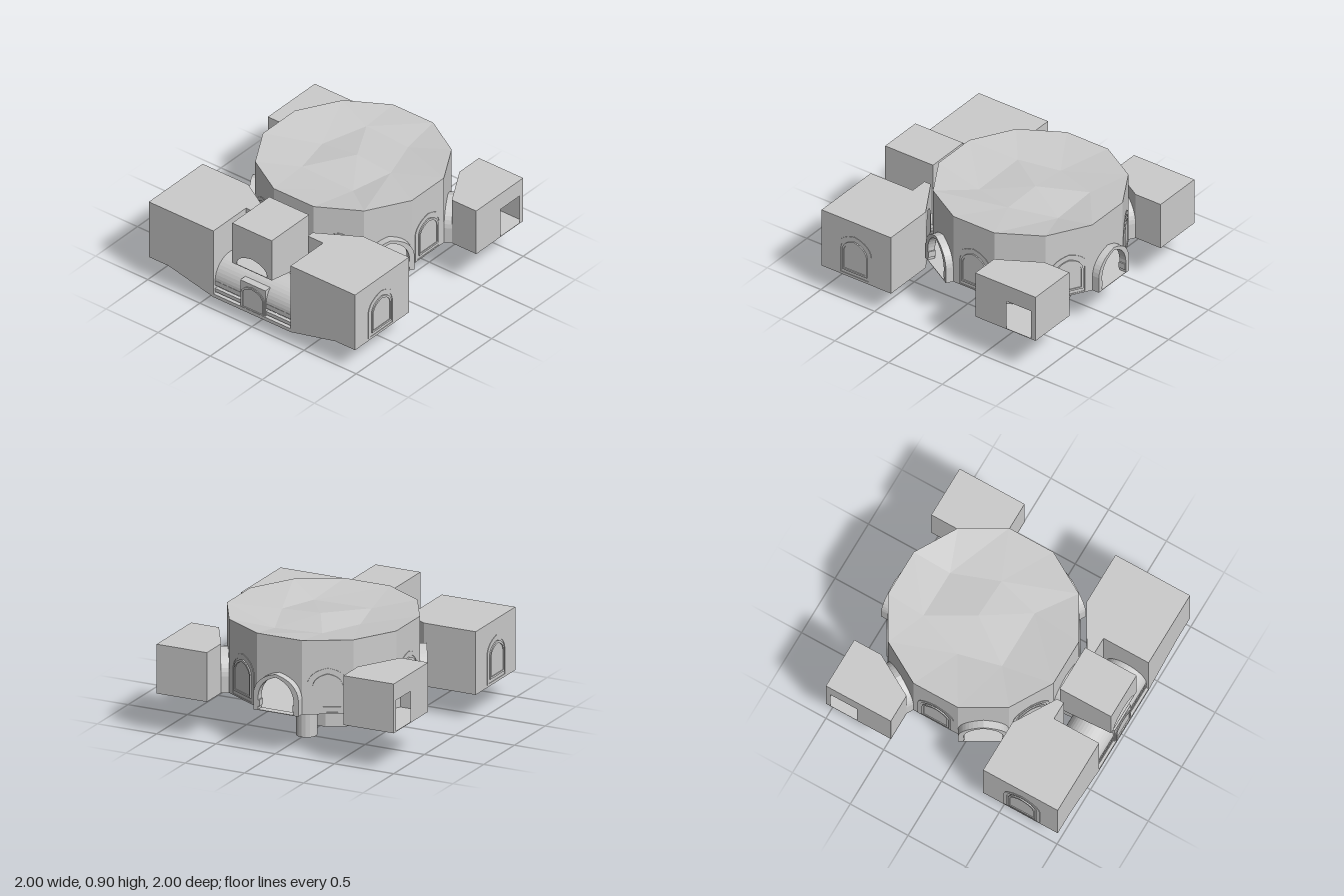
import * as THREE from 'three';

const mat = new THREE.MeshStandardMaterial({ color: 0xcccccc, flatShading: true, side: THREE.DoubleSide });
const HALL_Z = -0.215, APOTHEM = 0.715, RADIUS = APOTHEM / Math.cos(Math.PI / 12);

function add(parent, geometry, name, x = 0, y = 0, z = 0) {
  const m = new THREE.Mesh(geometry, mat);
  m.name = name;
  m.position.set(x, y, z);
  parent.add(m);
  return m;
}

// Pointed arch outline, half width w
function arch(w, y0, spring, top, Type = THREE.Shape) {
  const s = new Type();
  s.moveTo(-w, y0);
  s.lineTo(w, y0);
  s.lineTo(w, spring);
  s.quadraticCurveTo(w * 0.92, top - (top - spring) * 0.22, 0, top);
  s.quadraticCurveTo(-w * 0.92, top - (top - spring) * 0.22, -w, spring);
  s.closePath();
  return s;
}

function rect(x0, y0, x1, y1) {
  return new THREE.Path([[x0, y0], [x1, y0], [x1, y1], [x0, y1]].map(p => new THREE.Vector2(...p)));
}

const extrude = (shape, depth) =>
  new THREE.ExtrudeGeometry(shape, { depth, bevelEnabled: false, curveSegments: 8 });

// Hollow room: plan points [x, z], walls with optional openings per edge
function room(parent, name, plan, y0, y1, openings = {}, caps = [y0, y1]) {
  const g = new THREE.Group();
  g.name = name;
  parent.add(g);
  const area = plan.reduce((s, p, i) => {
    const q = plan[(i + 1) % plan.length];
    return s + p[0] * q[1] - q[0] * p[1];
  }, 0);
  plan.forEach((a, i) => {
    const b = plan[(i + 1) % plan.length];
    const dx = b[0] - a[0], dz = b[1] - a[1], h = Math.hypot(dx, dz) / 2;
    const s = new THREE.Shape([[-h, y0], [h, y0], [h, y1], [-h, y1]].map(p => new THREE.Vector2(...p)));
    if (openings[i]) s.holes.push(openings[i]);
    const k = Math.sign(area);
    const wall = add(g, new THREE.ShapeGeometry(s, 8), 'wall', (a[0] + b[0]) / 2, 0, (a[1] + b[1]) / 2);
    wall.rotation.y = Math.atan2(dz * k, -dx * k);
  });
  const outline = new THREE.Shape(plan.map(p => new THREE.Vector2(p[0], -p[1])));
  for (const y of caps) {
    const geo = new THREE.ShapeGeometry(outline);
    geo.rotateX(-Math.PI / 2);
    if (y === y0) geo.index.array.reverse(), geo.computeVertexNormals();
    add(g, geo, y === y0 ? 'floor' : 'roof', 0, y, 0);
  }
  return g;
}

// Extrude a [z, y] profile across x
function sideProfile(parent, name, pts, halfWidth) {
  const geo = extrude(new THREE.Shape(pts.map(p => new THREE.Vector2(-p[0], p[1]))), halfWidth * 2);
  geo.rotateY(Math.PI / 2);
  return add(parent, geo, name, -halfWidth, 0, 0);
}

const doorway = () => arch(0.15, 0.325, 0.43, 0.6, THREE.Path);

// Arched window: broad surround and a raised inner frame around a pane
function windowAt(parent, x, z, angle, drop = 0) {
  const g = new THREE.Group();
  g.name = 'archedWindow';
  g.position.set(x, -drop, z);
  g.rotation.y = angle;
  const surround = arch(0.155, 0.33, 0.56, 0.685);
  surround.holes.push(arch(0.13, 0.335, 0.55, 0.655, THREE.Path));
  add(g, extrude(surround, 0.004), 'windowSurround');
  const frame = arch(0.115, 0.365, 0.54, 0.64);
  frame.holes.push(arch(0.1, 0.38, 0.535, 0.62, THREE.Path));
  add(g, extrude(frame, 0.01), 'windowFrame');
  add(g, new THREE.ShapeGeometry(arch(0.1, 0.38, 0.535, 0.62), 8), 'windowPane', 0, 0, 0.003);
  parent.add(g);
}

// Roof of shallow facets sunk inside the rim
function facetedRoof(rim) {
  const inner = [[0.2, 0.85, -0.62], [0.33, 0.87, -0.25], [0.24, 0.85, 0.09],
    [-0.25, 0.86, 0.09], [-0.33, 0.85, -0.25], [-0.2, 0.87, -0.62]];
  const centre = [0, 0.89, -0.26], v = [];
  const r = i => [rim[i % 12][0], 0.905, rim[i % 12][1]];
  for (let i = 0; i < 6; i++) {
    const a = inner[i], b = inner[(i + 1) % 6], j = 2 * i;
    v.push(r(j + 1), r(j), a, r(j + 2), r(j + 1), a, b, r(j + 2), a, b, a, centre);
  }
  const geo = new THREE.BufferGeometry();
  geo.setAttribute('position', new THREE.Float32BufferAttribute(v.flat(), 3));
  geo.computeVertexNormals();
  return geo;
}

export function createModel() {
  const model = new THREE.Group();
  model.name = 'hallWithCornerRooms';

  // Twelve-sided hall; angles run clockwise from the back, seen from above
  const rim = Array.from({ length: 12 }, (_, i) => {
    const t = (i + 0.5) * Math.PI / 6;
    return [RADIUS * Math.sin(t), HALL_Z - RADIUS * Math.cos(t)];
  });
  const doors = [0, 2, 4, 6, 8, 10];
  const openings = {};
  doors.forEach(f => { openings[(f + 11) % 12] = doorway(); });
  const hall = room(model, 'centralHall', rim, 0.32, 0.905, openings, [0.32]);
  add(hall, facetedRoof(rim), 'facetedRoof');

  // Door collars on every other facet, windows between
  for (let f = 0; f < 12; f++) {
    const t = f * Math.PI / 6;
    const x = APOTHEM * Math.sin(t), z = HALL_Z - APOTHEM * Math.cos(t);
    const angle = Math.PI - t;
    if (doors.includes(f)) {
      const s = arch(0.19, 0.32, 0.45, 0.625);
      s.holes.push(doorway());
      add(model, extrude(s, 0.06), 'doorCollar', x, 0, z).rotation.y = angle;
      for (const k of [-1, 1]) {
        const foot = new THREE.BoxGeometry(0.05, 0.05, 0.058);
        foot.translate(k * 0.165, 0.375, 0.03);
        add(model, foot, 'collarFoot', x, 0, z).rotation.y = angle;
      }
    } else windowAt(model, x, z, angle);
  }

  for (const s of [1, -1]) {
    const mirror = pts => pts.map(([x, z]) => [x * s, z]);
    // Rear corner rooms with an open outer bay
    const bay = s > 0 ? rect(0.01, 0.325, 0.24, 0.57) : rect(-0.24, 0.325, -0.01, 0.57);
    room(model, 'rearRoom', mirror([[1, -1], [0.576, -1], [0.576, -0.767], [0.766, -0.438], [1, -0.438]]),
      0.32, 0.71, { 2: doorway(), 4: bay });

    // Front corner rooms
    room(model, 'frontRoom', mirror([[0.99, 1], [0.37, 1], [0.37, 0.61], [0.223, 0.61], [0.223, 0.551],
      [0.552, 0.355], [0.99, 0.355]]), 0.21, 0.71, { 4: doorway() });
    windowAt(model, 0.99 * s, 0.69, s * Math.PI / 2, 0.1);

    // Sloping underside of the front rooms
    const wedge = new THREE.Shape([[0.8, 0.21], [0.37, 0.21], [0.37, 0.11]]
      .map(([x, y]) => new THREE.Vector2(x * s, y)));
    add(model, extrude(wedge, 0.38), 'slopedUnderside', 0, 0, 0.62);
  }

  // Raised gatehouse over the front passage, with a sloping base
  room(model, 'gatehouse', [[-0.19, 1], [0.19, 1], [0.19, 0.555], [-0.19, 0.555]], 0.5, 0.86,
    { 0: arch(0.145, 0.505, 0.52, 0.61, THREE.Path), 2: arch(0.145, 0.505, 0.52, 0.61, THREE.Path) }, [0.86]);
  sideProfile(model, 'gatehouseBase', [[0.555, 0.42], [1, 0.5], [0.555, 0.5]], 0.19);

  // Barrel vault between the front rooms
  const vault = new THREE.CylinderGeometry(0.172, 0.172, 0.74, 20, 1, true, 0, Math.PI);
  vault.rotateZ(Math.PI / 2);
  add(model, vault, 'barrelVault', 0, 0.248, 0.808);
  for (const z of [0.645, 0.972])
    add(model, new THREE.BoxGeometry(0.74, 0.04, 0.02), 'vaultSill', 0, 0.23, z);
  for (const [y, z, w] of [[0.125, 0.975, 0.05], [0.125, 0.65, 0.06], [0.165, 0.965, 0.03], [0.125, 0.81, 0.04]])
    add(model, new THREE.BoxGeometry(0.74, 0.03, w), 'bridgeRail', 0, y, z);

  // Front panel with an arched relief
  add(model, new THREE.BoxGeometry(0.24, 0.23, 0.06), 'frontPanel', 0, 0.255, 0.96);
  const relief = arch(0.11, 0.14, 0.27, 0.345);
  relief.holes.push(arch(0.095, 0.145, 0.265, 0.33, THREE.Path));
  add(model, extrude(relief, 0.008), 'panelArch', 0, 0, 0.99);

  // Low hub, arm to the front bridge, and rear post
  const hub = add(model, new THREE.CylinderGeometry(0.3, 0.3, 0.25, 12), 'hub', 0, 0.147, -0.04);
  hub.rotation.y = Math.PI / 12;
  add(model, new THREE.ConeGeometry(0.3, 0.018, 12), 'hubCap', 0, 0.281, -0.04).rotation.y = Math.PI / 12;
  sideProfile(model, 'hubArm', [[0.15, 0.02], [0.26, 0.02], [0.7, 0.11], [0.97, 0.11], [0.97, 0.14],
    [0.72, 0.14], [0.62, 0.2], [0.36, 0.235], [0.15, 0.27]], 0.1);
  add(model, new THREE.CylinderGeometry(0.082, 0.082, 0.32, 16), 'rearPost', 0, 0.16, -0.487);

  return model;
}
